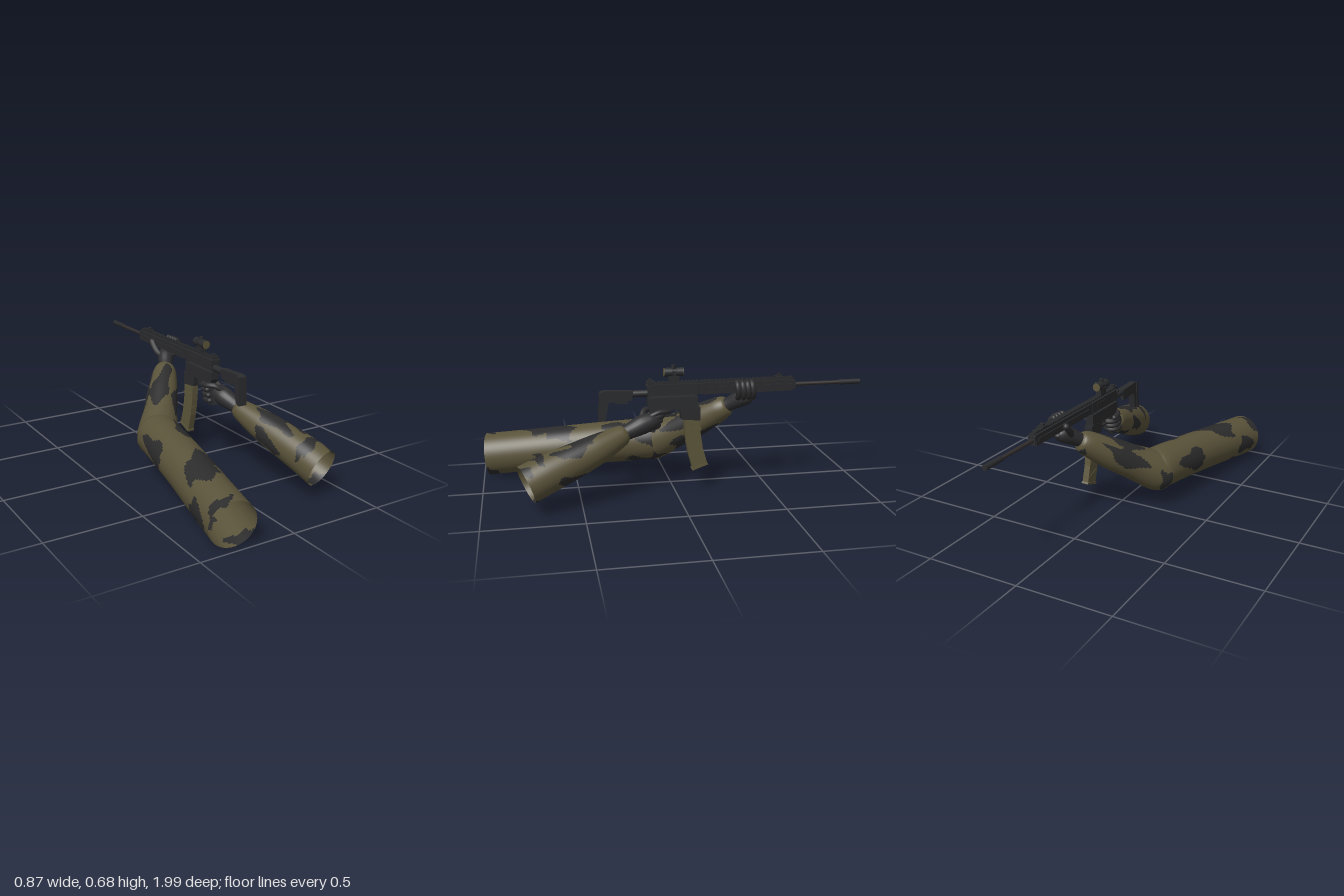
import * as THREE from 'three';

const mat = (name, color, double) => {
  const m = new THREE.MeshStandardMaterial({ color });
  m.name = name;
  if (double) m.side = THREE.DoubleSide;
  return m;
};

export function createModel() {
  const gunmetal = mat('gunmetal', 0x2a2b2d);
  const barrelSteel = mat('barrel steel', 0x322e2d);
  const glove = mat('glove', 0x2d2d2f);
  const olive = mat('olive cloth', 0x5a533a, true);
  const darkCloth = mat('dark camouflage', 0x2c2c2d, true);
  const tan = mat('olive polymer', 0x5c553a);

  const root = new THREE.Group();
  root.name = 'armsWithRifle';
  const gun = new THREE.Group();
  gun.name = 'rifle';
  gun.position.x = 0.134;
  root.add(gun);

  const add = (parent, name, geo, material) => {
    const m = new THREE.Mesh(geo, material);
    m.name = name;
    parent.add(m);
    return m;
  };

  // ---- Rifle helpers: box by extents, rod along z, side profile extruded in x
  const box = (name, w, y0, y1, z0, z1) =>
    add(gun, name, new THREE.BoxGeometry(w, y1 - y0, Math.abs(z1 - z0))
      .translate(0, (y0 + y1) / 2, (z0 + z1) / 2), gunmetal);
  const rod = (name, r, y, z0, z1, material = gunmetal) =>
    add(gun, name, new THREE.CylinderGeometry(r, r, Math.abs(z1 - z0), 18)
      .rotateX(Math.PI / 2).translate(0, y, (z0 + z1) / 2), material);
  const side = (name, pts, w, material = gunmetal, hole) => {
    const s = new THREE.Shape(pts.map(p => new THREE.Vector2(...p)));
    if (hole) s.holes.push(new THREE.Path(hole.map(p => new THREE.Vector2(...p))));
    const g = new THREE.ExtrudeGeometry(s, { depth: w, bevelEnabled: false });
    return add(gun, name, g.rotateY(-Math.PI / 2).translate(w / 2, 0, 0), material);
  };

  // Barrel and muzzle
  rod('barrel', 0.01, 0.558, -0.6, -0.9, barrelSteel);
  rod('muzzleBrake', 0.014, 0.558, -0.88, -1);
  // Handguard with side, lower and top rails
  side('handguardCap', [[-0.6, 0.535], [-0.6, 0.585], [-0.64, 0.58], [-0.64, 0.54]], 0.04);
  box('handguard', 0.042, 0.532, 0.587, -0.12, -0.63);
  box('sideRail', 0.054, 0.55, 0.568, -0.15, -0.62);
  box('lowerRail', 0.026, 0.526, 0.54, -0.15, -0.62);
  box('topRail', 0.02, 0.58, 0.594, 0.14, -0.63);
  for (let i = 0; i < 38; i++) {
    const z = 0.13 - i * 0.02;
    box('railTooth', 0.028, 0.592, 0.6, z, z - 0.011);
  }
  // Upper and lower receiver with a thin gap between
  box('upperReceiver', 0.044, 0.53, 0.588, 0.145, -0.115);
  side('lowerReceiver', [[0.145, 0.52], [-0.115, 0.52], [-0.115, 0.455], [0.125, 0.455], [0.145, 0.48]], 0.044);
  box('receiverPin', 0.03, 0.515, 0.535, 0.145, 0.135);
  box('receiverPin', 0.03, 0.515, 0.535, -0.105, -0.115);
  box('ejectionPort', 0.05, 0.55, 0.573, 0.02, -0.07);
  box('chargingHandle', 0.06, 0.574, 0.586, 0.15, 0.135);
  side('magazineWell', [[-0.022, 0.46], [-0.13, 0.46], [-0.13, 0.39], [-0.03, 0.4]], 0.046);
  // Trigger guard, trigger and grip
  side('triggerGuard', [[0.085, 0.46], [-0.015, 0.46], [-0.005, 0.415], [0.075, 0.415]], 0.018, gunmetal,
    [[0.075, 0.454], [-0.005, 0.454], [0.002, 0.423], [0.068, 0.423]]);
  box('trigger', 0.008, 0.427, 0.458, 0.04, 0.032);
  side('pistolGrip', [[0.065, 0.46], [0.125, 0.46], [0.165, 0.35], [0.11, 0.335]], 0.034);

  // Curved magazine with raised ribs
  side('magazine', [[-0.045, 0.4], [-0.13, 0.4], [-0.133, 0.32], [-0.145, 0.24], [-0.17, 0.15],
    [-0.093, 0.122], [-0.066, 0.22], [-0.052, 0.31]], 0.034, tan);
  side('magazineBase', [[-0.17, 0.157], [-0.176, 0.147], [-0.09, 0.116], [-0.087, 0.128]], 0.04, tan);
  for (const [y, z] of [[0.345, -0.093], [0.265, -0.1], [0.19, -0.12]]) {
    const rib = add(gun, 'magazineRib', new THREE.BoxGeometry(0.039, 0.01, 0.086), tan);
    rib.position.set(0, y, z);
    rib.rotation.x = -0.12 - (0.345 - y) * 1.2;
  }

  // Stock on its tube
  rod('stockTube', 0.018, 0.543, 0.14, 0.27);
  side('stock', [[0.395, 0.41], [0.36, 0.415], [0.345, 0.505], [0.225, 0.512], [0.22, 0.56],
    [0.37, 0.566], [0.39, 0.55]], 0.036);
  side('buttPad', [[0.398, 0.41], [0.38, 0.41], [0.37, 0.562], [0.39, 0.556]], 0.046);
  box('stockLatch', 0.02, 0.495, 0.515, 0.31, 0.245);

  // Folding sights
  for (const z of [0.13, -0.55]) {
    box('sightBase', 0.036, 0.594, 0.606, z + 0.02, z - 0.02);
    box('sightPost', 0.022, 0.604, 0.616, z + 0.009, z - 0.009);
  }

  // Optic with lenses and turrets
  box('opticMount', 0.03, 0.595, 0.632, 0.035, -0.02);
  rod('opticBody', 0.019, 0.648, 0.05, -0.035);
  rod('opticRearBell', 0.023, 0.648, 0.057, 0.022);
  rod('opticFrontBell', 0.023, 0.648, -0.005, -0.04);
  rod('opticRearLens', 0.0215, 0.648, 0.0595, 0.0565, tan);
  rod('opticFrontLens', 0.0215, 0.648, -0.0395, -0.0425, tan);
  const topTurret = rod('opticTopTurret', 0.011, 0, 0.02, -0.02);
  topTurret.rotation.x = Math.PI / 2;
  topTurret.position.set(0, 0.664, 0.01);
  const sideTurret = rod('opticSideTurret', 0.01, 0, 0.018, -0.018);
  sideTurret.rotation.y = Math.PI / 2;
  sideTurret.position.set(0.018, 0.648, 0.01);

  // ---- Loft of round sections [x, y, z, radius]; blobs [t, angle, rt, rAngle] become dark cloth
  const loft = (name, sections, blobs, rows = 90, cols = 80) => {
    const curve = pts => new THREE.CatmullRomCurve3(pts, false, 'catmullrom', 0.4);
    const path = curve(sections.map(s => new THREE.Vector3(s[0], s[1], s[2])));
    const radii = curve(sections.map((s, i) => new THREE.Vector3(s[3], i, 0)));
    const axis = path.getPoint(1).sub(path.getPoint(0)).normalize();
    const u = axis.clone().cross(new THREE.Vector3(0, 1, 0)).normalize();
    const v = u.clone().cross(axis);
    const pos = [], light = [], dark = [];
    const isDark = (t, deg) => (blobs || []).some(([bt, ba, rt, ra]) => {
      const da = ((deg - ba + 540) % 360) - 180;
      const dt = t - bt + 0.2 * rt * Math.sin(da / 9 + ba) + 0.35 * rt * da / ra;
      const d = da + 0.3 * ra * Math.sin(dt / rt * 3.5 + bt * 20);
      return (dt / rt) ** 2 + (d / ra) ** 2 < 1;
    });
    for (let i = 0; i <= rows; i++) {
      const c = path.getPoint(i / rows), r = Math.max(0.001, radii.getPoint(i / rows).x);
      for (let j = 0; j < cols; j++) {
        const a = j / cols * Math.PI * 2;
        const p = c.clone().addScaledVector(u, r * Math.cos(a)).addScaledVector(v, r * Math.sin(a));
        pos.push(p.x, p.y, p.z);
        if (i === rows) continue;
        const k = (j + 1) % cols, A = i * cols + j, B = i * cols + k;
        (isDark((i + 0.5) / rows, (j + 0.5) / cols * 360) ? dark : light)
          .push(A, A + cols, B + cols, A, B + cols, B);
      }
    }
    const g = new THREE.BufferGeometry();
    g.setAttribute('position', new THREE.Float32BufferAttribute(pos, 3));
    g.setIndex([...light, ...dark]);
    g.addGroup(0, light.length, 0);
    g.addGroup(light.length, dark.length, 1);
    g.computeVertexNormals();
    return add(root, name, g, blobs ? [olive, darkCloth] : glove);
  };

  // Left arm sleeves
  loft('leftUpperSleeve', [[-0.317, 0.122, 0.97, 0.116], [-0.277, 0.145, 0.74, 0.115], [-0.237, 0.17, 0.51, 0.114],
    [-0.2, 0.192, 0.28, 0.114], [-0.168, 0.208, 0.075, 0.112], [-0.158, 0.212, 0.02, 0.085], [-0.152, 0.214, 0, 0.001]],
  [[0.56, 50, 0.1, 24], [0.24, 95, 0.09, 42], [0.29, 60, 0.05, 28], [0.01, 130, 0.03, 40], [0.25, -28, 0.07, 26],
    [0.01, -55, 0.04, 35], [0.66, 15, 0.06, 22], [0.5, 168, 0.09, 30], [0.1, 185, 0.06, 25], [0.42, -90, 0.09, 32],
    [0.17, -110, 0.07, 28], [0.62, -70, 0.06, 30]]);
  loft('leftForearmSleeve', [[-0.212, 0.16, 0.125, 0.03], [-0.2, 0.172, 0.108, 0.095], [-0.165, 0.203, 0.06, 0.108],
    [-0.09, 0.272, -0.045, 0.092], [-0.01, 0.35, -0.157, 0.083], [0.06, 0.42, -0.252, 0.066],
    [0.082, 0.442, -0.285, 0.052], [0.09, 0.45, -0.295, 0.034]],
  [[0.58, 88, 0.15, 36], [0.5, 20, 0.09, 22], [0.52, -65, 0.14, 34], [0.22, -35, 0.1, 40], [0.52, 165, 0.12, 28],
    [0.22, 190, 0.08, 30], [0.8, -130, 0.06, 24]]);
  // Right arm sleeve
  loft('rightForearmSleeve', [[0.34, 0.163, 0.775, 0.1], [0.312, 0.208, 0.66, 0.095], [0.28, 0.25, 0.54, 0.088],
    [0.242, 0.297, 0.41, 0.076], [0.206, 0.34, 0.3, 0.056], [0.198, 0.35, 0.275, 0.048], [0.194, 0.354, 0.262, 0.036]],
  [[0.42, 100, 0.13, 38], [0.32, 55, 0.09, 26], [0.13, 115, 0.045, 55], [0.02, -80, 0.05, 40], [0.27, -45, 0.08, 28],
    [0.38, 190, 0.1, 28], [0.5, -100, 0.09, 34], [0.02, 60, 0.04, 22]]);

  // ---- Gloved hands: palm loft plus tube fingers with round ends
  loft('rightPalm', [[0.2, 0.348, 0.29, 0.036], [0.188, 0.366, 0.24, 0.042], [0.173, 0.388, 0.18, 0.05],
    [0.164, 0.402, 0.13, 0.046], [0.16, 0.408, 0.1, 0.032], [0.158, 0.41, 0.09, 0.001]], null, 24, 20);
  loft('leftPalm', [[0.08, 0.44, -0.275, 0.036], [0.097, 0.46, -0.305, 0.038], [0.122, 0.487, -0.345, 0.044],
    [0.142, 0.503, -0.375, 0.042], [0.152, 0.512, -0.395, 0.028], [0.156, 0.516, -0.402, 0.001]], null, 24, 20);
  const finger = (name, pts, r) => {
    const p = pts.map(q => new THREE.Vector3(...q));
    add(root, name, new THREE.TubeGeometry(new THREE.CatmullRomCurve3(p), 18, r, 10), glove);
    for (const e of [p[0], p.at(-1)])
      add(root, name + 'Tip', new THREE.SphereGeometry(r, 10, 8).translate(e.x, e.y, e.z), glove);
  };
  // Right hand around the grip
  for (let i = 0; i < 3; i++) {
    const y = 0.425 - i * 0.027, z = i * 0.012;
    finger('rightFinger', [[0.175, y, 0.13 + z], [0.168, y, 0.085 + z], [0.134, y, 0.065 + z],
      [0.1, y, 0.085 + z], [0.1, y, 0.125 + z]], 0.0145);
  }
  finger('rightIndexFinger', [[0.18, 0.425, 0.15], [0.172, 0.448, 0.09], [0.158, 0.446, 0.05], [0.138, 0.44, 0.035]], 0.013);
  finger('rightThumb', [[0.16, 0.425, 0.18], [0.125, 0.45, 0.16], [0.1, 0.45, 0.125], [0.098, 0.445, 0.085]], 0.015);
  // Left hand around the handguard
  for (let i = 0; i < 4; i++) {
    const z = -0.405 + i * 0.026, o = i === 0 || i === 3 ? -0.006 : 0;
    finger('leftFinger', [[0.14, 0.5, z], [0.18 + o, 0.51, z], [0.2 + o, 0.545, z + 0.006],
      [0.192 + o, 0.58, z + 0.01], [0.17, 0.587, z + 0.01]], 0.0145);
  }
  finger('leftThumb', [[0.11, 0.485, -0.345], [0.086, 0.515, -0.375], [0.08, 0.545, -0.405], [0.08, 0.567, -0.425]], 0.017);

  return root;
}
